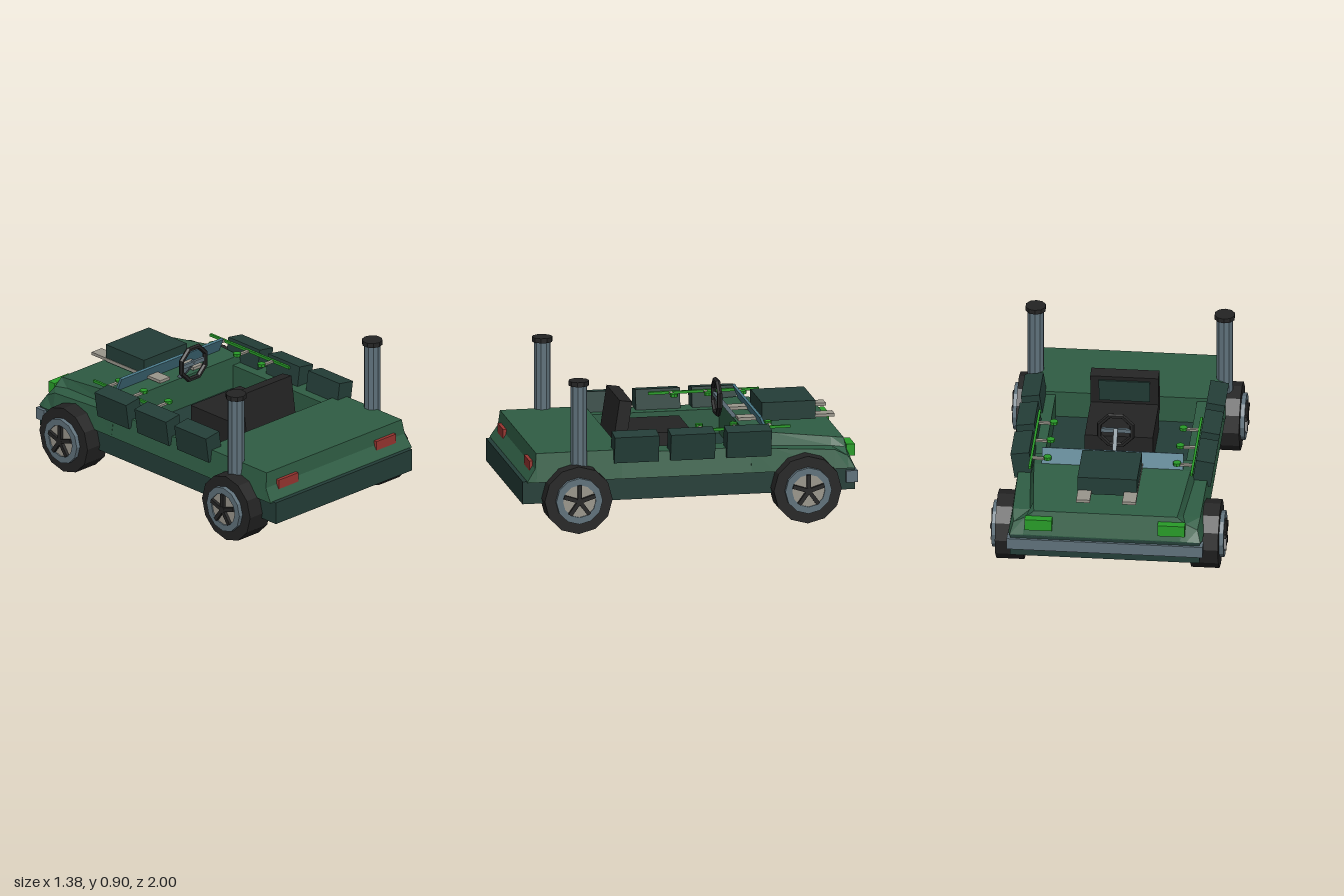
import * as THREE from 'three';

const mat = (name, color) => Object.assign(new THREE.MeshStandardMaterial({ color, flatShading: true }), { name });
const M = {
  green: mat('body green', 0x2f5d44),
  dark: mat('dark green', 0x243e38),
  black: mat('rubber black', 0x242424),
  steel: mat('steel', 0x5f717b),
  grey: mat('light grey', 0x9a968c),
  lime: mat('bright green', 0x289c28),
  glass: mat('glass blue', 0x487888),
  red: mat('lamp red', 0x983530),
};

// Solid through rings of equal point count; rings run from +z to -z, each anticlockwise seen from +z
function loft(rings) {
  const pos = [], n = rings[0].length;
  const tri = (...p) => p.forEach((v) => pos.push(...v));
  const mid = (r) => [0, 1, 2].map((k) => r.reduce((s, p) => s + p[k], 0) / n);
  const last = rings[rings.length - 1];
  for (let j = 0; j < n; j++) {
    const k = (j + 1) % n;
    for (let i = 0; i + 1 < rings.length; i++) {
      const a = rings[i][j], b = rings[i][k], d = rings[i + 1][j], c = rings[i + 1][k];
      tri(a, d, b);
      tri(b, d, c);
    }
    tri(mid(rings[0]), rings[0][j], rings[0][k]);
    tri(mid(last), last[k], last[j]);
  }
  const g = new THREE.BufferGeometry();
  g.setAttribute('position', new THREE.Float32BufferAttribute(pos, 3));
  g.computeVertexNormals();
  return g;
}
// Symmetric ring from its right half, listed bottom to top
const sym = (half) => [...half, ...half.map(([x, y, z]) => [-x, y, z]).reverse()];

export function createModel() {
  const root = new THREE.Group();
  root.name = 'openBuggy';
  const add = (name, geo, m, x = 0, y = 0, z = 0, parent = root) => {
    const mesh = new THREE.Mesh(geo, m);
    mesh.name = name;
    mesh.position.set(x, y, z);
    parent.add(mesh);
    return mesh;
  };
  // Box given by its limits
  const box = (name, m, x0, x1, y0, y1, z0, z1, parent) =>
    add(name, new THREE.BoxGeometry(x1 - x0, y1 - y0, z1 - z0), m,
      (x0 + x1) / 2, (y0 + y1) / 2, (z0 + z1) / 2, parent);

  // Chassis and bumper
  box('chassis', M.dark, -0.555, 0.555, 0.17, 0.305, -0.98, 1);
  box('bumper', M.steel, -0.575, 0.575, 0.215, 0.285, -0.995, -0.925);

  // Rear deck with sloping tail
  add('rearDeck', loft([
    [[0.575, 0.3, 0.975], [0.575, 0.31, 0.972]],
    [[0.575, 0.3, 0.93], [0.565, 0.38, 0.927]],
    [[0.575, 0.3, 0.92], [0.55, 0.47, 0.918]],
    [[0.575, 0.3, 0.41], [0.55, 0.47, 0.41]],
  ].map(sym)), M.green);

  // Hood between two lower fenders
  add('hood', loft([
    [[0.575, 0.3, -0.36], [0.555, 0.445, -0.36], [0.48, 0.445, -0.36], [0.465, 0.5, -0.36]],
    [[0.575, 0.3, -0.5], [0.555, 0.435, -0.5], [0.48, 0.435, -0.5], [0.46, 0.51, -0.5]],
    [[0.57, 0.3, -0.86], [0.55, 0.412, -0.86], [0.45, 0.412, -0.86], [0.43, 0.462, -0.86]],
    [[0.57, 0.3, -0.94], [0.54, 0.37, -0.94], [0.47, 0.405, -0.94], [0.42, 0.45, -0.94]],
    [[0.56, 0.3, -0.98], [0.56, 0.305, -0.98], [0.48, 0.308, -0.98], [0.44, 0.31, -0.98]],
  ].map(sym)), M.green);

  // Seat
  box('seatCushion', M.black, -0.2, 0.2, 0.3, 0.475, -0.08, 0.32);
  const back = new THREE.Group();
  back.name = 'seatBack';
  back.position.set(0, 0.535, 0.335);
  back.rotation.x = -0.15;
  root.add(back);
  box('seatBackFrame', M.black, -0.2, 0.2, -0.135, 0.14, -0.038, 0.038, back);
  box('seatBackPanel', M.dark, -0.15, 0.15, -0.03, 0.115, -0.047, -0.038, back);

  // Steering wheel, spoke bar and column
  const wheelRim = add('steeringWheel', new THREE.TorusGeometry(0.103, 0.016, 6, 8), M.black, 0, 0.625, -0.265);
  wheelRim.rotation.z = Math.PI / 8;
  box('steeringSpoke', M.steel, -0.095, 0.095, 0.613, 0.637, -0.275, -0.257);
  const column = add('steeringColumn', new THREE.BoxGeometry(0.024, 0.024, 0.19), M.steel, 0, 0.56, -0.325);
  column.rotation.x = -0.9;

  // Windscreen leaning back
  const screen = add('windscreen', new THREE.BoxGeometry(0.83, 0.095, 0.015), M.glass, 0, 0.55, -0.465);
  screen.rotation.x = 0.4;

  // Crate on two slats
  box('hoodCrate', M.dark, -0.175, 0.175, 0.51, 0.62, -0.82, -0.5);
  for (const x of [-0.138, 0.132]) box('crateSlat', M.grey, x - 0.04, x + 0.04, 0.517, 0.535, -0.935, -0.36);

  for (const s of [-1, 1]) {
    // Cockpit side wall
    const wall = new THREE.Shape([[0.415, 0.3], [0.575, 0.3], [0.55, 0.45], [0.415, 0.45]]
      .map(([x, y]) => new THREE.Vector2(s * x, y)));
    add('cockpitWall', new THREE.ExtrudeGeometry(wall, { depth: 0.77, bevelEnabled: false }), M.green, 0, 0, -0.36);

    // Lamps
    add('tailLamp', new THREE.BoxGeometry(0.16, 0.072, 0.04), M.red, s * 0.398, 0.373, 0.925);
    add('headLamp', new THREE.BoxGeometry(0.16, 0.07, 0.05), M.lime, s * 0.39, 0.385, -0.972);

    // Side bags leaning outward
    for (const z of [-0.345, -0.01, 0.325]) {
      const bag = add('sideBag', new THREE.BoxGeometry(0.11, 0.16, 0.265), M.dark, s * 0.533, 0.483, z);
      bag.rotation.z = -s * 0.15;
    }

    // Rail with knobbed pegs
    add('sideRail', new THREE.BoxGeometry(0.014, 0.016, 0.66), M.lime, s * 0.475, 0.547, -0.28);
    for (const z of [-0.495, -0.29, -0.085]) {
      add('peg', new THREE.BoxGeometry(0.09, 0.012, 0.02), M.grey, s * 0.435, 0.547, z);
      add('pegKnob', new THREE.CylinderGeometry(0.024, 0.024, 0.018, 8), M.lime, s * 0.38, 0.553, z);
    }

    // Exhaust stack
    add('exhaustPipe', new THREE.CylinderGeometry(0.05, 0.05, 0.58, 10), M.steel, s * 0.555, 0.585, 0.665);
    add('exhaustCap', new THREE.CylinderGeometry(0.061, 0.061, 0.028, 10), M.black, s * 0.555, 0.886, 0.665);

    // Wheels, built along y and turned so +y points outward
    for (const z of [-0.68, 0.685]) {
      const wheel = new THREE.Group();
      wheel.name = z < 0 ? 'frontWheel' : 'rearWheel';
      wheel.position.set(s * 0.5725, 0.202, z);
      wheel.rotation.z = -s * Math.PI / 2;
      root.add(wheel);
      add('tire', new THREE.CylinderGeometry(0.202, 0.202, 0.165, 12), M.black, 0, 0, 0, wheel);
      const ring = [[0.098, 0.07], [0.138, 0.07], [0.138, 0.108], [0.098, 0.108], [0.098, 0.07]];
      add('rim', new THREE.LatheGeometry(ring.map((p) => new THREE.Vector2(...p)), 12), M.steel, 0, 0, 0, wheel);
      add('hubPlate', new THREE.CylinderGeometry(0.1, 0.1, 0.03, 12), M.grey, 0, 0.085, 0, wheel);
      add('hub', new THREE.CylinderGeometry(0.022, 0.022, 0.04, 8), M.black, 0, 0.1, 0, wheel);
      for (let i = 0; i < 5; i++) {
        const a = (i / 5) * Math.PI * 2;
        const spoke = add('spoke', new THREE.BoxGeometry(0.095, 0.022, 0.024), M.black,
          -s * Math.cos(a) * 0.05, 0.108, Math.sin(a) * 0.05, wheel);
        spoke.rotation.y = s * a;
      }
    }
  }
  return root;
}
